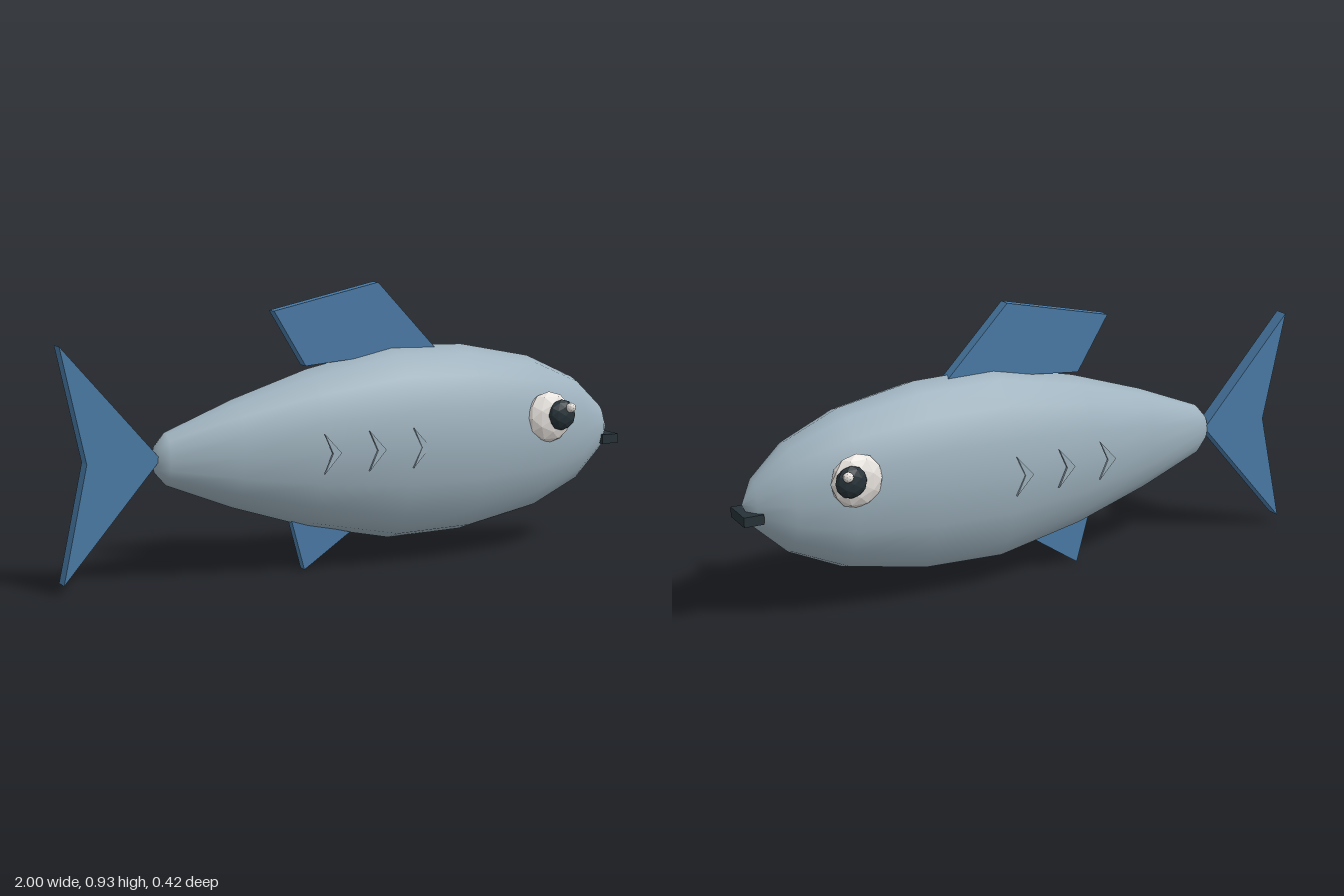
import * as THREE from 'three';

const mat = (name, color, flatShading = false) => {
  const m = new THREE.MeshStandardMaterial({ color, flatShading });
  m.name = name;
  return m;
};

export function createModel() {
  const group = new THREE.Group();
  const skin = mat('blue grey skin', 0x9eb2be);
  const finBlue = mat('fin blue', 0x4a7ba7);
  const white = mat('eye white', 0xf0ebe6, true);
  const dark = mat('dark', 0x263238, true);

  const add = (name, geometry, material, x = 0, y = 0, z = 0) => {
    const mesh = new THREE.Mesh(geometry, material);
    mesh.name = name;
    mesh.position.set(x, y, z);
    group.add(mesh);
    return mesh;
  };

  // Flat plate with the given outline, centred on z = 0
  const plate = (points, depth) => {
    const shape = new THREE.Shape(points.map(([x, y]) => new THREE.Vector2(x, y)));
    return new THREE.ExtrudeGeometry(shape, { depth, bevelEnabled: false }).translate(0, 0, -depth / 2);
  };

  // Body: lathe laid along x and narrowed sideways; pairs are [half height, x]
  const profile = [
    [0, -0.7], [0.045, -0.69], [0.085, -0.655], [0.174, -0.43], [0.257, -0.17], [0.32, 0.13],
    [0.313, 0.4], [0.262, 0.66], [0.18, 0.84], [0.078, 0.95], [0, 0.985],
  ].map(([r, x]) => new THREE.Vector2(r, x));
  const body = new THREE.LatheGeometry(profile, 16).rotateZ(-Math.PI / 2).scale(1, 1, 0.555);
  add('body', body, skin, 0, 0.396, 0);

  // Fins
  add('tailFin', plate([[-0.68, 0.4], [-1, 0.765], [-0.92, 0.4], [-1, 0.03]], 0.05), finBlue);
  add('dorsalFin', plate([[-0.18, 0.665], [0.29, 0.705], [0.08, 0.925], [-0.29, 0.845]], 0.04), finBlue);
  add('bellyFin', plate([[-0.23, 0.165], [-0.185, 0], [-0.02, 0.11]], 0.03), finBlue);

  // Mouth
  add('mouth', new THREE.BoxGeometry(0.065, 0.032, 0.116), dark, 0.9675, 0.358, 0);

  for (const side of [1, -1]) {
    // Eye: flattened faceted ball, pupil and glint
    add('eyeWhite', new THREE.IcosahedronGeometry(0.087, 1).scale(1, 1, 0.42), white, 0.662, 0.462, side * 0.138);
    add('pupil', new THREE.IcosahedronGeometry(0.052, 1).scale(1, 1, 0.5), dark, 0.694, 0.472, side * 0.17);
    add('eyeGlint', new THREE.IcosahedronGeometry(0.017, 1), white, 0.714, 0.498, side * 0.195);

    // Chevron scale marks, turned half round on the far side
    [0.161, 0.168, 0.175].forEach((z, i) => {
      const chevron = plate([[0, -0.065], [0.06, 0], [0, 0.065], [0.03, 0]], 0.008);
      const mark = add('scaleMark', chevron, skin, -0.183 + i * 0.156, 0.4, side * z);
      if (side < 0) mark.rotation.y = Math.PI;
    });
  }
  return group;
}
